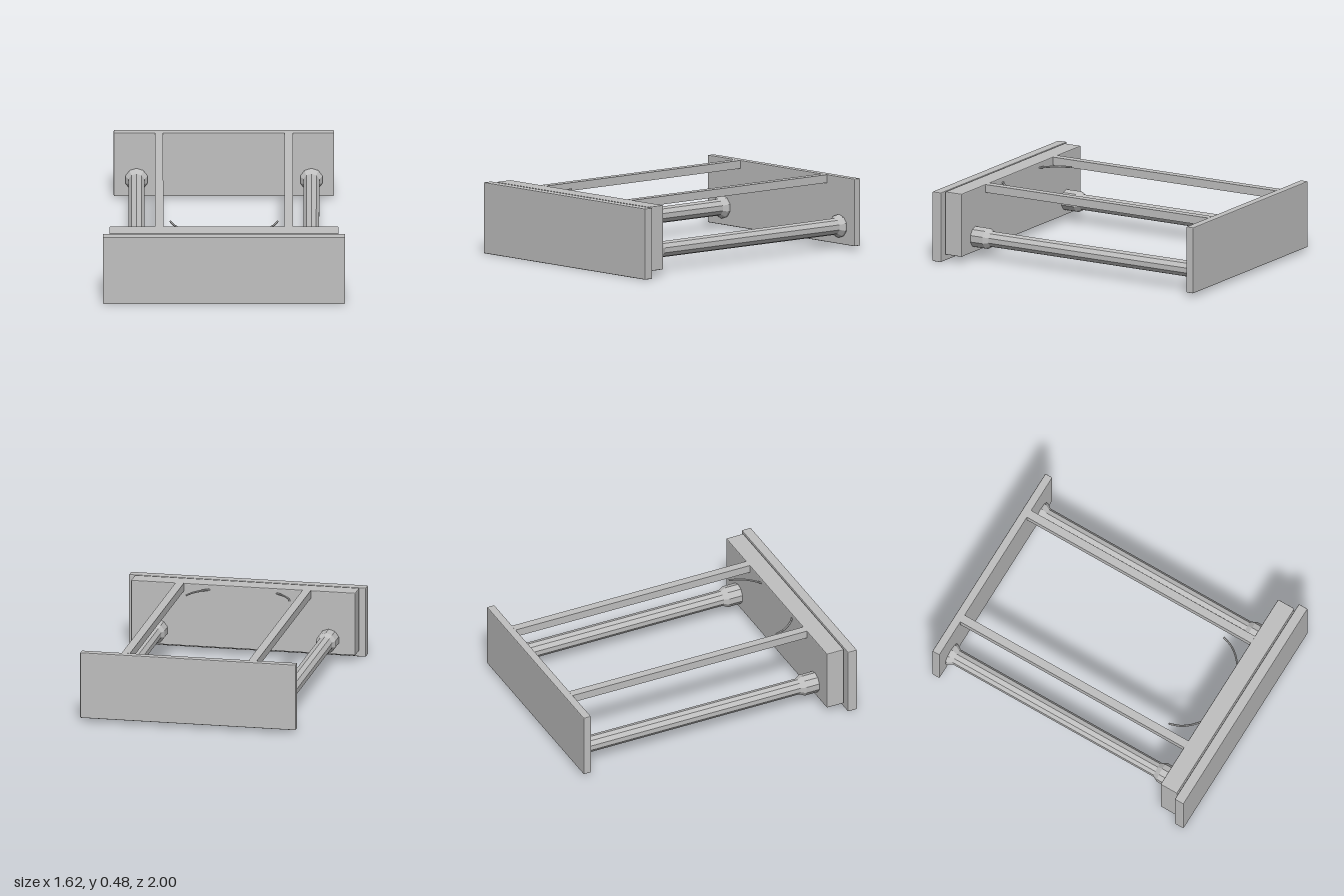
import * as THREE from 'three';
import { RoundedBoxGeometry } from 'three/addons/geometries/RoundedBoxGeometry.js';

export function createModel() {
  const group = new THREE.Group();
  group.name = 'slidingFrame';
  const grey = new THREE.MeshStandardMaterial({ color: 0xbfbfbf });
  grey.name = 'lightGrey';
  grey.flatShading = true;

  const add = (name, geometry) => {
    const mesh = new THREE.Mesh(geometry, grey);
    mesh.name = name;
    group.add(mesh);
    return mesh;
  };

  // Upright panel with a fine chamfer, centred on x
  const panel = (name, width, y0, y1, z0, z1) =>
    add(name, new RoundedBoxGeometry(width, y1 - y0, z1 - z0, 1, 0.006))
      .position.set(0, (y0 + y1) / 2, (z0 + z1) / 2);

  panel('frontPanel', 1.62, 0.0, 0.48, 0.932, 1.0);
  panel('innerBlock', 1.534, 0.045, 0.48, 0.796, 0.924);
  panel('backPanel', 1.474, 0.025, 0.48, -1.0, -0.945);

  // Rod outline: radius and z, with a flange at the back and a collar at the front
  const rodProfile = [
    [0, -0.95], [0.078, -0.95], [0.078, -0.932], [0.056, -0.9],
    [0.054, 0.665], [0.072, 0.7], [0.072, 0.8], [0, 0.8],
  ].map(([r, z]) => new THREE.Vector2(r, z));

  for (const side of [1, -1]) {
    const prefix = side > 0 ? 'left' : 'right';

    // Square upper rail
    add(prefix + 'Rail', new THREE.BoxGeometry(0.056, 0.055, 1.75))
      .position.set(side * 0.434, 0.4525, -0.075);

    // Faceted lower rod
    const rod = add(prefix + 'Rod', new THREE.LatheGeometry(rodProfile, 10));
    rod.rotation.x = Math.PI / 2;
    rod.position.set(side * 0.585, 0.147, 0);

    // Thin curved clip springing from the block
    const path = new THREE.CatmullRomCurve3(
      [[0.23, 0.8], [0.286, 0.752], [0.332, 0.69], [0.358, 0.615]]
        .map(([x, z]) => new THREE.Vector3(side * x, 0.445, z)));
    add(prefix + 'Clip', new THREE.TubeGeometry(path, 6, 0.007, 6));
  }

  return group;
}
